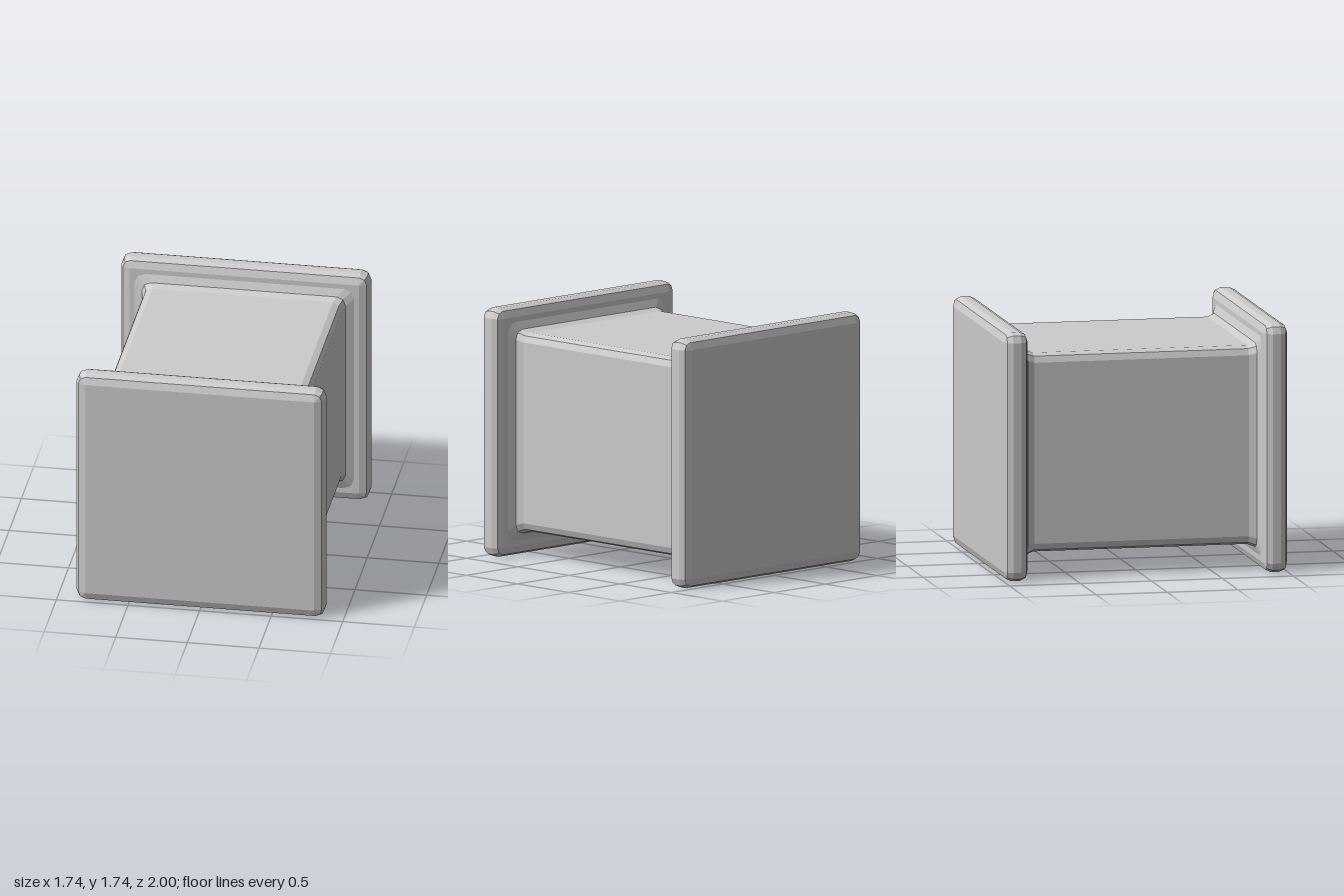
import * as THREE from 'three';

const material = new THREE.MeshStandardMaterial({ color: 0xcccccc, flatShading: true });

// Square ring with two-facet bevelled corners: half size h, corner cut c, counter-clockwise about +z
function squareRing([h, z, c]) {
  const corner = [[h, h - c], [h - 0.29 * c, h - 0.29 * c], [h - c, h]];
  const points = [];
  for (let k = 0; k < 4; k++) {
    const cos = [1, 0, -1, 0][k], sin = [0, 1, 0, -1][k];
    for (const [x, y] of corner) points.push([x * cos - y * sin, x * sin + y * cos, z]);
  }
  return points;
}

// Skin between rings ordered from front (+z) to back
function loft(name, sections) {
  const rings = sections.map(squareRing);
  const n = rings[0].length;
  const index = [];
  for (let i = 0; i < rings.length - 1; i++) {
    for (let j = 0; j < n; j++) {
      const a = i * n + j, b = i * n + (j + 1) % n;
      index.push(a, a + n, b, b, a + n, b + n);
    }
  }
  const indexed = new THREE.BufferGeometry();
  indexed.setAttribute('position', new THREE.Float32BufferAttribute(rings.flat(2), 3));
  indexed.setIndex(index);
  const geometry = indexed.toNonIndexed();
  geometry.computeVertexNormals();
  const mesh = new THREE.Mesh(geometry, material);
  mesh.name = name;
  return mesh;
}

export function createModel() {
  const group = new THREE.Group();
  group.name = 'squareSpool';

  // End plates with rounded rims: [half size, z from plate middle, corner cut]
  const rim = [[0, 0.085, 0], [0.8, 0.085, 0.004], [0.85, 0.067, 0.05], [0.868, 0.028, 0.068]];
  const plate = [...rim, ...rim.map(([h, z, c]) => [h, -z, c]).reverse()];
  for (const [name, z] of [['frontPlate', 0.915], ['backPlate', -0.915]]) {
    const mesh = loft(name, plate);
    mesh.position.z = z;
    group.add(mesh);
  }

  // Core, flaring where it meets each plate
  const flare = [[0.77, 0.832, 0.07], [0.712, 0.808, 0.065], [0.693, 0.755, 0.062]];
  group.add(loft('core', [...flare, ...flare.map(([h, z, c]) => [h, -z, c]).reverse()]));

  group.position.y = 0.868;
  const model = new THREE.Group();
  model.add(group);
  return model;
}
